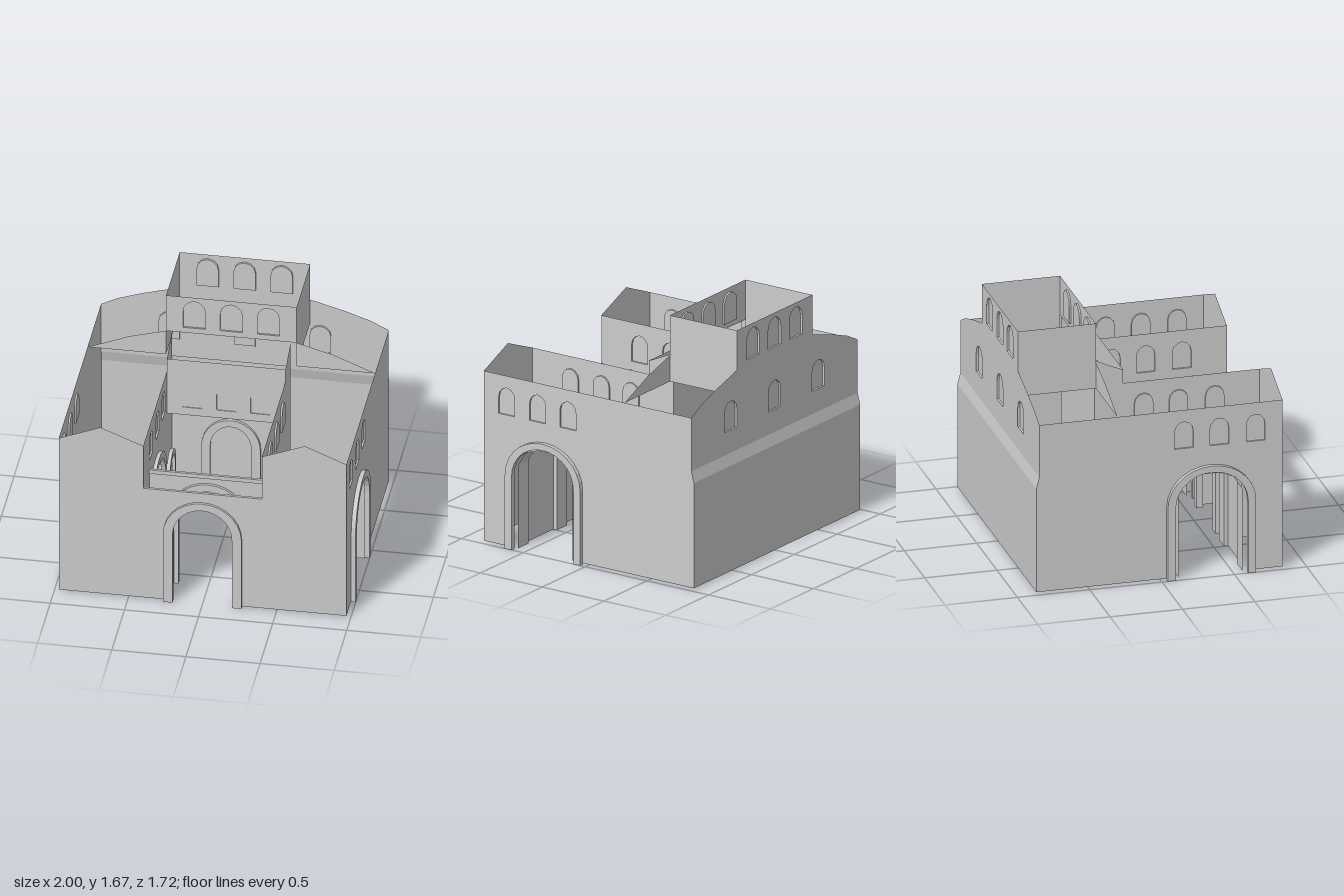
import * as THREE from 'three';

const mat = new THREE.MeshStandardMaterial({ color: 0xcccccc, side: THREE.DoubleSide, flatShading: true });
const V = (x, y) => new THREE.Vector2(x, y);

// Outline of an arched opening: up the left jamb, over the arch, down the right jamb
function arch(c, half, base, spring, top, n = 14) {
  const pts = [V(c - half, base)];
  for (let i = 0; i <= n; i++) {
    const a = Math.PI * (1 - i / n);
    pts.push(V(c + half * Math.cos(a), spring + (top - spring) * Math.sin(a)));
  }
  pts.push(V(c + half, base));
  return pts;
}

// Quad strip between matching points of several 3D sections
function loft(sections) {
  const pos = [], idx = [], n = sections[0].length;
  sections.forEach(s => s.forEach(p => pos.push(...p)));
  for (let s = 0; s < sections.length - 1; s++)
    for (let i = 0; i < n - 1; i++) {
      const a = s * n + i, b = a + n;
      idx.push(a, b, a + 1, a + 1, b, b + 1);
    }
  const g = new THREE.BufferGeometry();
  g.setAttribute('position', new THREE.Float32BufferAttribute(pos, 3));
  g.setIndex(idx);
  g.computeVertexNormals();
  return g;
}

export function createModel() {
  const root = new THREE.Group();
  root.name = 'roofless church';

  const add = (name, geo, parent = root) => {
    const m = new THREE.Mesh(geo, mat);
    m.name = name;
    parent.add(m);
    return m;
  };
  // Plane facing z (u = x), or facing x (u = z, local depth runs towards -x)
  const plane = (name, axis, at) => {
    const g = new THREE.Group();
    g.name = name;
    if (axis === 'x') { g.rotation.y = -Math.PI / 2; g.position.x = at; } else g.position.z = at;
    root.add(g);
    return g;
  };
  // Thin wall with open holes and shallow recessed windows
  function wall(name, axis, at, outline, { holes = [], windows = [], recess = 0.012 } = {}) {
    const g = plane(name, axis, at);
    const shape = new THREE.Shape(outline.map(p => V(...p)));
    [...holes, ...windows].forEach(h => shape.holes.push(new THREE.Path(h)));
    add(name + 'Surface', new THREE.ShapeGeometry(shape), g);
    windows.forEach(w => {
      add('windowPane', new THREE.ShapeGeometry(new THREE.Shape(w)), g).position.z = recess;
      const loop = [...w, w[0]];
      add('windowReveal', loft([0, recess].map(d => loop.map(p => [p.x, p.y, d]))), g);
    });
  }
  // Raised arched surround
  function surround(name, axis, at, depth, outer, inner) {
    const g = plane(name, axis, at);
    const shape = new THREE.Shape([...outer, ...inner.slice().reverse()]);
    const geo = new THREE.ExtrudeGeometry(shape, { depth, bevelEnabled: false });
    geo.translate(0, 0, -depth / 2);
    add(name + 'Moulding', geo, g);
  }
  const smallWindows = cs => cs.map(c => arch(c, 0.065, 0.93, 1.05, 1.12, 6));
  const towerWindows = () => [-0.25, 0, 0.25].map(c => arch(c, 0.075, 1.43, 1.56, 1.64, 6));

  // Front wall: two gabled wings and a low centre with the entrance
  const frontHole = () => arch(0, 0.23, 0.01, 0.535, 0.77);
  const door = arch(0, 0.23, 0.01, 0.535, 0.77).map(p => [p.x, p.y]);
  wall('frontWall', 'z', 0.84, [
    [-0.97, 0.01], ...door, [0.97, 0.01], [0.97, 1.205], [0.69, 1.32], [0.4, 1.205],
    [0.4, 0.86], [-0.4, 0.86], [-0.4, 1.205], [-0.69, 1.32], [-0.97, 1.205]]);
  wall('porchInnerWall', 'z', 0.6, [[-0.4, 0.01], ...door, [0.4, 0.01], [0.4, 0.86], [-0.4, 0.86]]);
  for (const z of [0.83, 0.6])
    add('parapetCoping', new THREE.BoxGeometry(0.8, 0.03, 0.018)).position.set(0, 0.855, z);
  for (const z of [0.835, 0.597])
    surround('entranceSurround', 'z', z, 0.046,
      arch(0, 0.265, 0, 0.535, 0.8), arch(0, 0.2, 0, 0.535, 0.745));
  // Porch jambs and haunches
  for (const s of [-1, 1])
    add('porchJamb', loft([0.6, 0.84].map(z =>
      [[s * 0.23, 0.01, z], [s * 0.23, 0.55, z], [s * 0.2, 0.65, z], [s * 0.14, 0.71, z]])));

  const sideArch = () => arch(0.345, 0.275, 0.01, 0.52, 0.77);
  const vault = [[-1, 0.01], [-1, 0.6], [-0.75, 0.69], [-0.27, 0.73], [0.27, 0.73], [0.75, 0.69], [1, 0.6], [1, 0.01]];
  for (const s of [-1, 1]) {
    const jambs = sideArch().map(p => [p.x, p.y]);
    // Outer side wall, its back edge following the sloped plinth
    wall('sideWall', 'x', s * 0.97, [
      [-0.86, 0.01], ...jambs, [0.84, 0.01], [0.84, 1.205], [-0.84, 1.205], [-0.84, 0.83], [-0.86, 0.75]],
    { windows: smallWindows([0.655, 0.405, 0.16]), recess: s * 0.012 });
    // Court wall, rising at the back to meet the tower
    wall('courtWall', 'x', s * 0.4, [
      [-0.3, 0.01], ...jambs, [0.84, 0.01], [0.84, 1.205], [-0.1, 1.205], [-0.1, 1.3], [-0.3, 1.39]],
    { windows: smallWindows([0.53, 0.28, 0.04]), recess: -s * 0.012 });
    // Arch surrounds at both ends of the side passage
    for (const [x, d] of [[0.983, 0.034], [0.392, 0.034]])
      surround('sideArchSurround', 'x', s * x, d,
        arch(0.345, 0.305, 0, 0.52, 0.795), arch(0.345, 0.25, 0, 0.52, 0.75));
    // Vaulted passage with a wider middle bay
    add('sidePassageVault', loft(
      [[0.4, 0.22, 0], [0.52, 0.22, 0], [0.52, 0.248, 0.03], [0.85, 0.248, 0.03], [0.85, 0.22, 0], [0.97, 0.22, 0]]
        .map(([x, h, up]) => vault.map(([u, y]) => [s * x, y > 0.1 ? y + up : y, 0.342 + u * h]))));
    // Gable strip beside the tower
    wall('rearGable', 'z', -0.3, [[s * 0.44, 1.205], [s * 0.97, 1.205], [s * 0.69, 1.32], [s * 0.44, 1.39]]);
    // Tower side
    wall('towerSide', 'x', s * 0.44, [[-0.84, 1.205], [-0.3, 1.205], [-0.3, 1.67], [-0.84, 1.67]]);
  }

  // Clerestory wall at the back of the court
  wall('clerestoryWall', 'z', -0.1, [[-0.4, 0.87], [0.4, 0.87], [0.4, 1.3], [-0.4, 1.3]],
    { windows: smallWindows([-0.23, 0, 0.23]), recess: -0.005 });

  // Wall behind the court with its framed doorway and steps
  wall('chancelWall', 'z', -0.3, [[-0.4, 0.01], [0.4, 0.01], [0.4, 1.2], [-0.4, 1.2]]);
  surround('chancelDoorSurround', 'z', -0.29, 0.022,
    arch(0, 0.2, 0.1, 0.52, 0.74), arch(0, 0.14, 0.1, 0.52, 0.69));
  add('chancelDoorSill', new THREE.BoxGeometry(0.28, 0.1, 0.02)).position.set(0, 0.15, -0.29);
  surround('sideDoorSurround', 'x', -0.375, 0.024,
    arch(-0.125, 0.125, 0.1, 0.42, 0.56), arch(-0.125, 0.09, 0.1, 0.42, 0.52));

  // Tower front
  wall('towerFront', 'z', -0.3, [[-0.44, 1.39], [0.44, 1.39], [0.44, 1.67], [-0.44, 1.67]],
    { windows: towerWindows(), recess: -0.012 });

  // Back wall with stepped gable, above a sloped plinth
  wall('backWall', 'z', -0.84, [
    [-0.97, 0.83], [0.97, 0.83], [0.97, 1.205], [0.85, 1.265], [0.69, 1.32], [0.44, 1.39], [0.44, 1.67],
    [-0.44, 1.67], [-0.44, 1.39], [-0.69, 1.32], [-0.85, 1.265], [-0.97, 1.205]],
  { windows: [...towerWindows(), ...[-0.51, 0, 0.51].map(c => arch(c, 0.072, 0.99, 1.12, 1.195, 6))], recess: 0.015 });
  add('backPlinth', loft([-0.97, 0.97].map(x => [[x, 0.01, -0.86], [x, 0.75, -0.86], [x, 0.83, -0.84]])));

  return root;
}
